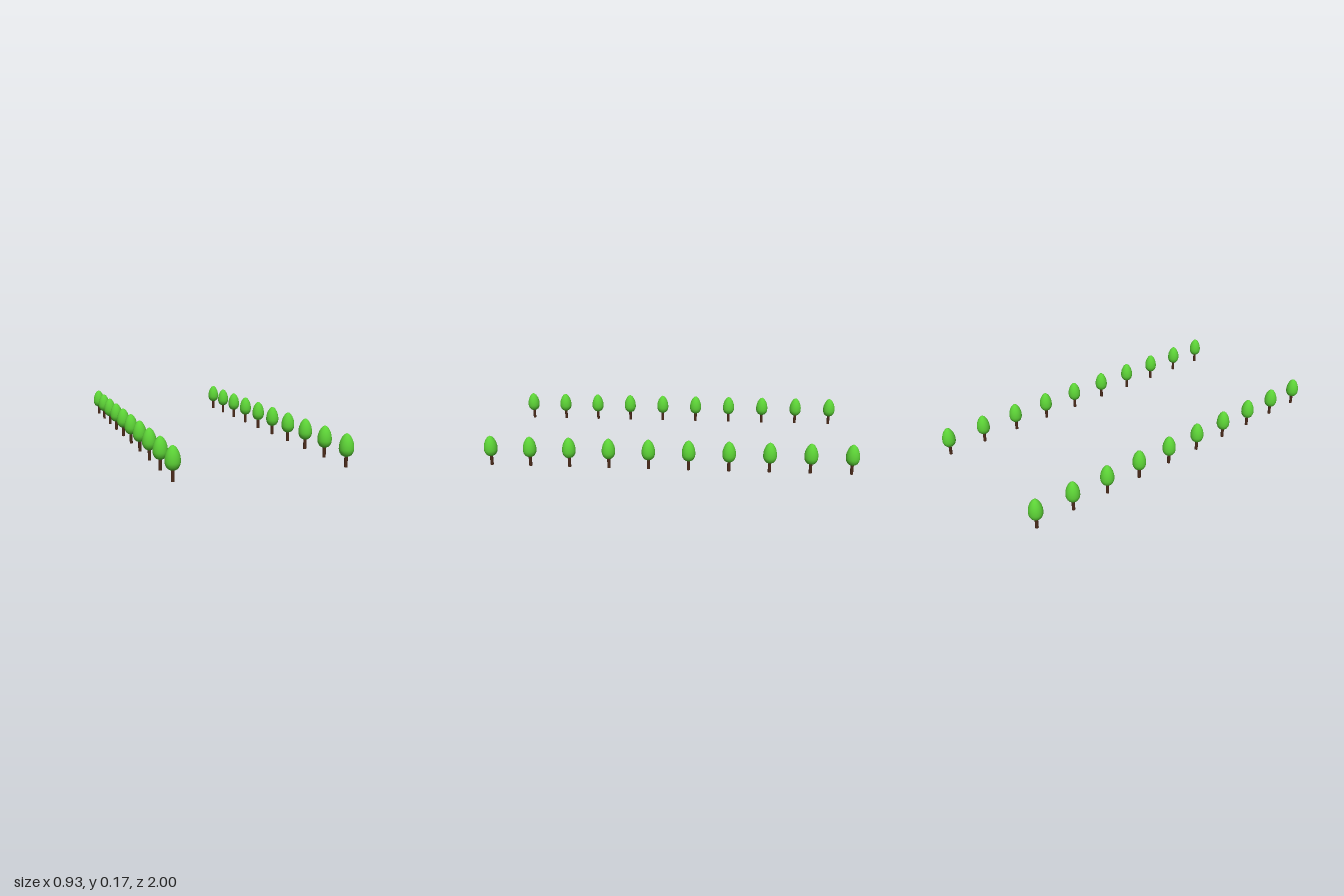
import * as THREE from 'three';

const ROWS_X = 0.429, TREES = 10, END_Z = 0.964;

export function createModel() {
  const group = new THREE.Group();
  group.name = 'treeAvenue';

  const leaf = new THREE.MeshStandardMaterial({ color: 0x5cd236 });
  const bark = new THREE.MeshStandardMaterial({ color: 0x4a2a1a });

  // Crown: rounded base, widest low down, tapering to a blunt tip
  const profile = new THREE.SplineCurve([
    [0, 0.05], [0.012, 0.0525], [0.025, 0.0605], [0.034, 0.077], [0.036, 0.093],
    [0.0345, 0.112], [0.029, 0.132], [0.0195, 0.15], [0.009, 0.161], [0, 0.165],
  ].map(([r, y]) => new THREE.Vector2(r, y))).getPoints(22);
  profile.forEach((p) => { p.x = Math.max(0, p.x); });
  const crownGeometry = new THREE.LatheGeometry(profile, 28);

  // Trunk: runs from the ground into the crown
  const trunkGeometry = new THREE.CylinderGeometry(0.0085, 0.0085, 0.06, 16);
  trunkGeometry.translate(0, 0.03, 0);

  // Two parallel rows of evenly spaced trees
  for (const side of [-1, 1]) {
    const row = new THREE.Group();
    row.name = side > 0 ? 'leftTreeRow' : 'rightTreeRow';
    for (let i = 0; i < TREES; i++) {
      const tree = new THREE.Group();
      tree.name = 'tree';
      const crown = new THREE.Mesh(crownGeometry, leaf);
      crown.name = 'crown';
      const trunk = new THREE.Mesh(trunkGeometry, bark);
      trunk.name = 'trunk';
      tree.add(crown, trunk);
      tree.position.set(side * ROWS_X, 0, -END_Z + (2 * END_Z * i) / (TREES - 1));
      row.add(tree);
    }
    group.add(row);
  }
  return group;
}
